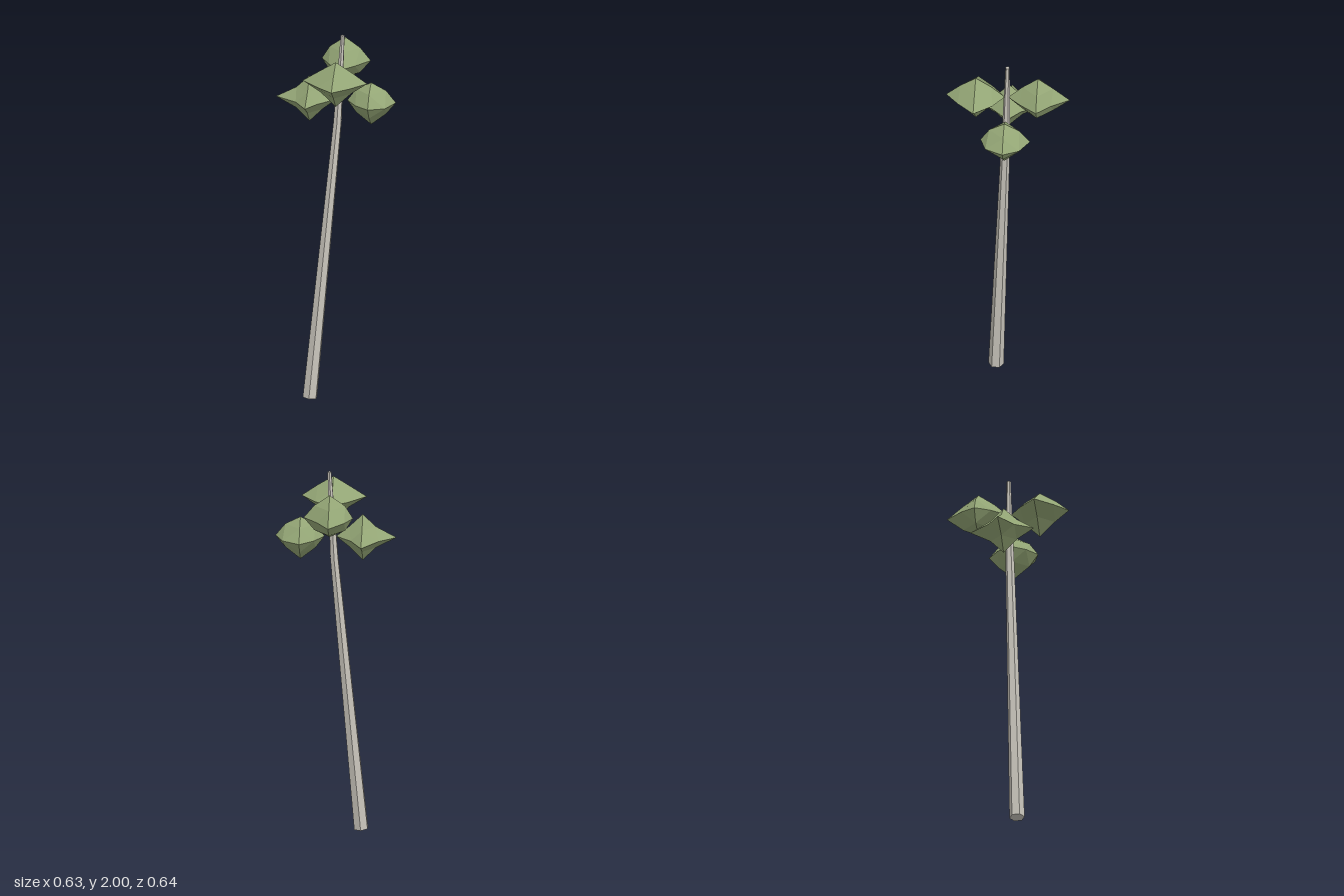
import * as THREE from 'three';

const bark = new THREE.MeshStandardMaterial({ color: 0xcac6bd, flatShading: true });
const leaf = new THREE.MeshStandardMaterial({ color: 0x93a575, flatShading: true });

// Tapered six-sided pole between two points
function pole(name, from, to, r0, r1) {
  const a = new THREE.Vector3(...from), b = new THREE.Vector3(...to);
  const dir = b.clone().sub(a);
  const mesh = new THREE.Mesh(new THREE.CylinderGeometry(r1, r0, dir.length(), 6), bark);
  mesh.name = name;
  mesh.position.copy(a).add(b).multiplyScalar(0.5);
  mesh.quaternion.setFromUnitVectors(new THREE.Vector3(0, 1, 0), dir.normalize());
  return mesh;
}

// Faceted clump: a once-split octahedron whose six tips and mid points are pulled in or out.
// tips: reach along [-x, +x, -y, +y, -z, +z]
// corners: [x, z] reach of the level mid points, ordered -x-z, +x-z, -x+z, +x+z
// rise: [outward, vertical] reach of the remaining mid points
function clump({ name, at, tips, corners, rise }) {
  const geo = new THREE.OctahedronGeometry(1, 1);
  const pos = geo.attributes.position;
  for (let i = 0; i < pos.count; i++) {
    const s = [pos.getX(i), pos.getY(i), pos.getZ(i)].map(v => (Math.abs(v) < 0.1 ? 0 : Math.sign(v)));
    const used = s.filter(v => v !== 0).length;
    let p;
    if (used === 1) {
      p = s.map((v, k) => v * tips[2 * k + (v > 0 ? 1 : 0)]);
    } else if (s[1] === 0) {
      const [cx, cz] = corners[(s[0] > 0 ? 1 : 0) + (s[2] > 0 ? 2 : 0)];
      p = [s[0] * cx, 0, s[2] * cz];
    } else {
      p = [s[0] * rise[0], s[1] * rise[1], s[2] * rise[0]];
    }
    pos.setXYZ(i, ...p);
  }
  geo.computeVertexNormals();
  const mesh = new THREE.Mesh(geo, leaf);
  mesh.name = name;
  mesh.position.set(...at);
  return mesh;
}

const clumps = [
  { name: 'backFoliage', at: [0.023, 1.805, -0.157], tips: [0.121, 0.135, 0.105, 0.125, 0.166, 0.155],
    corners: [[0.08, 0.075], [0.064, 0.072], [0.073, 0.08], [0.064, 0.09]], rise: [0.08, 0.068] },
  { name: 'frontFoliage', at: [0.023, 1.805, 0.166], tips: [0.173, 0.165, 0.138, 0.11, 0.151, 0.154],
    corners: [[0.083, 0.09], [0.089, 0.093], [0.085, 0.086], [0.082, 0.087]], rise: [0.08, 0.06] },
  { name: 'rightFoliage', at: [-0.139, 1.643, 0.005], tips: [0.175, 0.138, 0.128, 0.125, 0.176, 0.16],
    corners: [[0.086, 0.065], [0.06, 0.067], [0.062, 0.068], [0.05, 0.085]], rise: [0.068, 0.058] },
  { name: 'leftFoliage', at: [0.184, 1.643, 0.004], tips: [0.125, 0.13, 0.128, 0.105, 0.134, 0.124],
    corners: [[0.074, 0.077], [0.089, 0.084], [0.072, 0.073], [0.086, 0.092]], rise: [0.078, 0.065] },
];

export function createModel() {
  const group = new THREE.Group();
  group.name = 'tree';

  // Leaning trunk and its thinner tip
  group.add(pole('trunk', [-0.126, 0.004, 0.073], [0.01, 1.53, 0.011], 0.04, 0.023));
  group.add(pole('trunkTip', [0.009, 1.52, 0.011], [0.034, 2, 0], 0.023, 0.011));

  // Four clumps around the tip
  for (const c of clumps) group.add(clump(c));
  return group;
}
